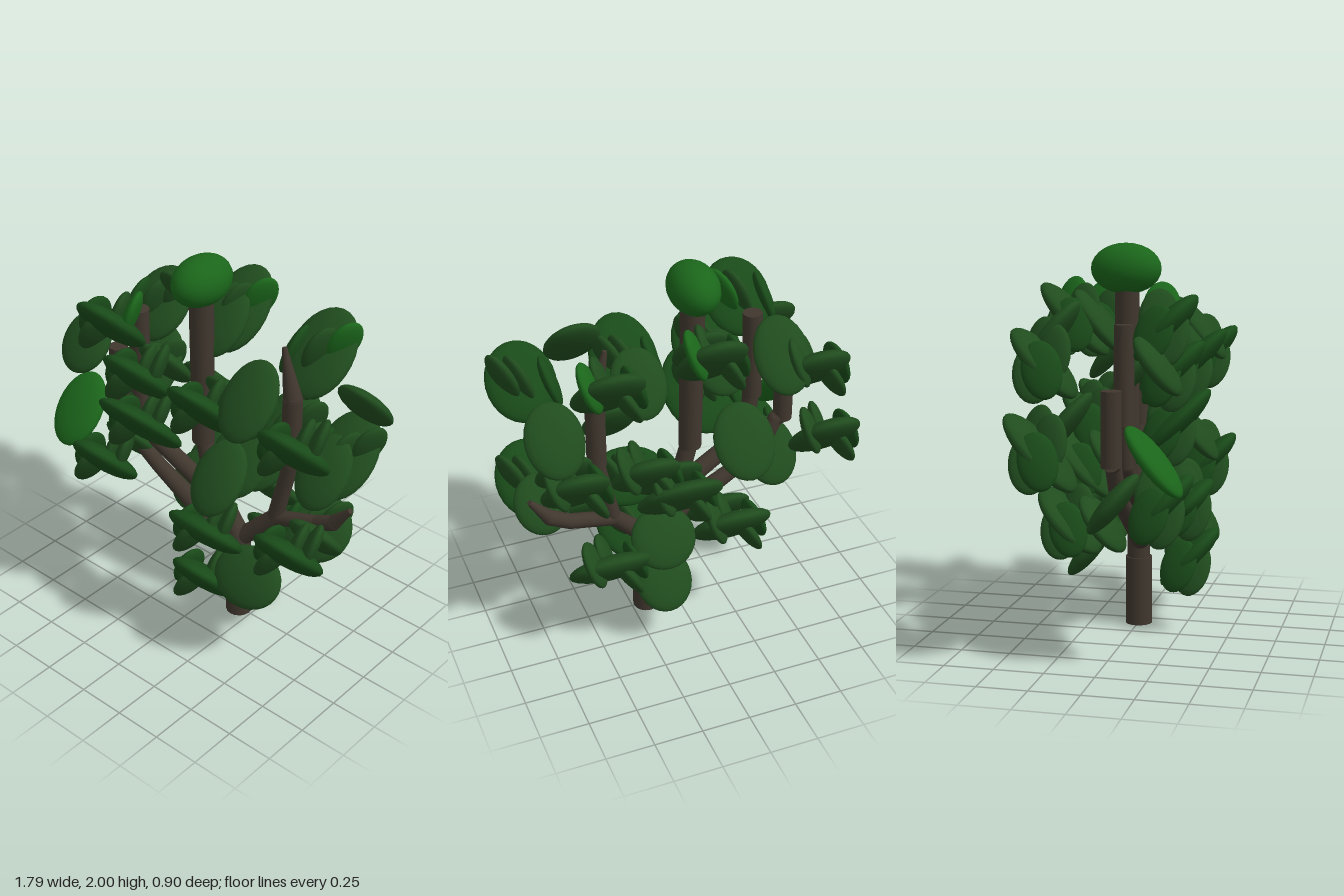
import * as THREE from 'three';

const material = (color) => new THREE.MeshStandardMaterial({ color });
const WOOD = material(0x40372e);
const DARK = material(0x194a19);
const MID = material(0x204c1e);
const BRIGHT = material(0x1b661b);
const leafGeo = new THREE.SphereGeometry(1, 20, 14);

// Flattened leaf pad: size = half extents, rot = Euler angles
function pad(parent, name, mat, pos, size, rot = [0, 0, 0]) {
  const m = new THREE.Mesh(leafGeo, mat);
  m.name = name;
  m.position.set(...pos);
  m.scale.set(...size);
  m.rotation.set(...rot);
  parent.add(m);
}

// Tapered round limb between two points
function limb(parent, name, a, b, r0, r1) {
  const p = new THREE.Vector3(...a), q = new THREE.Vector3(...b);
  const d = q.clone().sub(p);
  const m = new THREE.Mesh(new THREE.CylinderGeometry(r1, r0, d.length(), 16), WOOD);
  m.name = name;
  m.position.copy(p).addScaledVector(d, 0.5);
  m.quaternion.setFromUnitVectors(new THREE.Vector3(0, 1, 0), d.normalize());
  parent.add(m);
}

// Chain of limbs with rounded knuckles; points are [x, y, z, radius]
function branch(parent, name, pts) {
  for (let i = 0; i < pts.length - 1; i++) {
    const a = pts[i], b = pts[i + 1];
    limb(parent, name, a.slice(0, 3), b.slice(0, 3), a[3], b[3]);
    if (i > 0) {
      const r = a[3];
      pad(parent, 'branchKnuckle', WOOD, a.slice(0, 3), [r, r, r]);
    }
  }
}

// Cluster on the front (s = 1) or back (s = -1): broad leaf with four small blades
function cluster(parent, s, x, y, rx = 0.18, ry = 0.165) {
  const g = new THREE.Group();
  g.name = s > 0 ? 'frontLeafCluster' : 'backLeafCluster';
  g.position.set(x, y, s * 0.27);
  const blade = [0.036, 0.14, 0.095];
  pad(g, 'broadLeaf', s > 0 ? DARK : MID, [0, 0, 0], [rx, ry * 1.27, 0.06], [s * 0.76, 0, 0]);
  pad(g, 'outerBlade', y > 1.5 ? BRIGHT : MID, [0.1, 0.075, -0.04], blade, [s * 0.15, s * 0.4, -0.42]);
  pad(g, 'upperBlade', MID, [0.02, 0.045, -s * 0.04], blade, [s * 0.15, s * 0.3, -0.35]);
  pad(g, 'middleBlade', MID, [-0.07, -0.04, s * 0.03], [0.036, 0.15, 0.1], [0, -s * 0.25, -0.5]);
  pad(g, 'innerBlade', DARK, [-0.14, -0.015, -s * 0.03], blade, [s * 0.2, -s * 0.25, -0.3]);
  parent.add(g);
}

export function createModel() {
  const tree = new THREE.Group();
  tree.name = 'tree';

  // Trunk and branches
  limb(tree, 'trunk', [0.17, 0, 0], [0.17, 0.36, 0], 0.07, 0.07);
  branch(tree, 'lowerTrunk', [[0.17, 0.34, 0, 0.06], [0.17, 0.47, 0, 0.06], [0.08, 0.62, 0.01, 0.055],
    [-0.01, 0.74, 0, 0.05], [-0.08, 1.0, 0, 0.045]]);
  limb(tree, 'upperTrunk', [-0.08, 0.97, 0], [-0.09, 1.8, 0], 0.058, 0.062);
  branch(tree, 'lowRightBranch', [[0.15, 0.45, 0.01, 0.05], [-0.01, 0.53, 0.04, 0.055], [-0.35, 0.72, 0.05, 0.042],
    [-0.5, 0.82, 0.05, 0.04], [-0.58, 0.98, 0.05, 0.04], [-0.62, 1.0, 0.05, 0.045]]);
  limb(tree, 'outerRightStem', [-0.62, 0.98, 0.05], [-0.62, 1.34, 0.05], 0.05, 0.05);
  branch(tree, 'highRightBranch', [[0.02, 0.68, 0.02, 0.05], [-0.35, 0.89, 0.06, 0.045],
    [-0.42, 0.95, 0.07, 0.04], [-0.45, 1.2, 0.07, 0.045]]);
  limb(tree, 'innerRightStem', [-0.45, 1.15, 0.07], [-0.44, 1.63, 0.07], 0.05, 0.05);
  branch(tree, 'leftBranch', [[0.17, 0.47, 0, 0.05], [0.36, 0.67, -0.05, 0.042], [0.44, 1.02, -0.06, 0.04],
    [0.44, 1.4, -0.06, 0.048], [0.38, 1.66, -0.06, 0.012]]);
  limb(tree, 'innerLeftStem', [0.44, 1.02, -0.06], [0.44, 1.4, -0.06], 0.05, 0.05);
  branch(tree, 'outerLeftBranch', [[0.34, 0.66, -0.05, 0.04], [0.6, 0.73, -0.08, 0.04],
    [0.7, 0.78, -0.08, 0.04], [0.8, 0.9, -0.08, 0.014]]);

  // Crown at the top of the trunk
  pad(tree, 'crown', BRIGHT, [-0.09, 1.875, -0.005], [0.125, 0.125, 0.178]);

  // Front clusters
  [[0.17, 0.37], [0.17, 0.66, 0.225, 0.125], [-0.53, 0.785], [0.7, 0.785], [-0.26, 1.125, 0.225, 0.2],
    [-0.27, 1.39], [0.17, 1.375, 0.18, 0.2], [0.71, 1.375], [-0.44, 1.62]]
    .forEach((c) => cluster(tree, 1, ...c));

  // Back clusters
  [[0.62, 1.05, 0.17, 0.19], [-0.08, 1.62, 0.17, 0.19], [-0.2, 0.62, 0.21, 0.17], [0.08, 0.87, 0.22, 0.2],
    [0.44, 1.56, 0.18, 0.19], [0.45, 0.53, 0.22, 0.15], [-0.7, 1.05, 0.18, 0.19], [-0.62, 1.46, 0.18, 0.17],
    [0.26, 1.05, 0.17, 0.18]]
    .forEach((c) => cluster(tree, -1, ...c));

  // Single pads facing front (s = 1) or back (s = -1): [s, x, y, z, rx, ry]
  [[1, -0.62, 1.46, 0.27, 0.145, 0.135], [1, -0.7, 1.03, 0.27, 0.145, 0.165], [1, 0.44, 1.54, 0.27, 0.145, 0.165],
    [1, 0.26, 1.03, 0.27, 0.145, 0.16], [1, 0.45, 0.52, 0.27, 0.2, 0.125],
    [1, 0.62, 1.04, -0.09, 0.145, 0.16], [1, -0.08, 1.61, -0.14, 0.145, 0.16],
    [1, -0.2, 0.61, -0.1, 0.17, 0.14], [1, 0.08, 0.87, -0.1, 0.18, 0.17],
    [-1, -0.44, 1.58, -0.28, 0.145, 0.16], [-1, 0.71, 1.37, -0.28, 0.145, 0.15],
    [-1, 0.17, 0.64, -0.27, 0.17, 0.13], [-1, 0.17, 0.37, -0.27, 0.15, 0.135], [-1, -0.26, 1.12, -0.27, 0.16, 0.16],
    [-1, 0.17, 1.36, 0.06, 0.145, 0.15], [-1, 0.7, 0.77, 0.06, 0.145, 0.13], [-1, -0.55, 0.79, 0.04, 0.15, 0.15],
    [-1, -0.27, 1.38, 0.07, 0.145, 0.14]]
    .forEach(([s, x, y, z, rx, ry]) => pad(tree, s > 0 ? 'frontPad' : 'backPad', x === -0.7 ? BRIGHT : MID,
      [x, y, z], [rx, ry * 1.24, 0.05], [-s * 0.68, 0, 0]));

  return tree;
}
